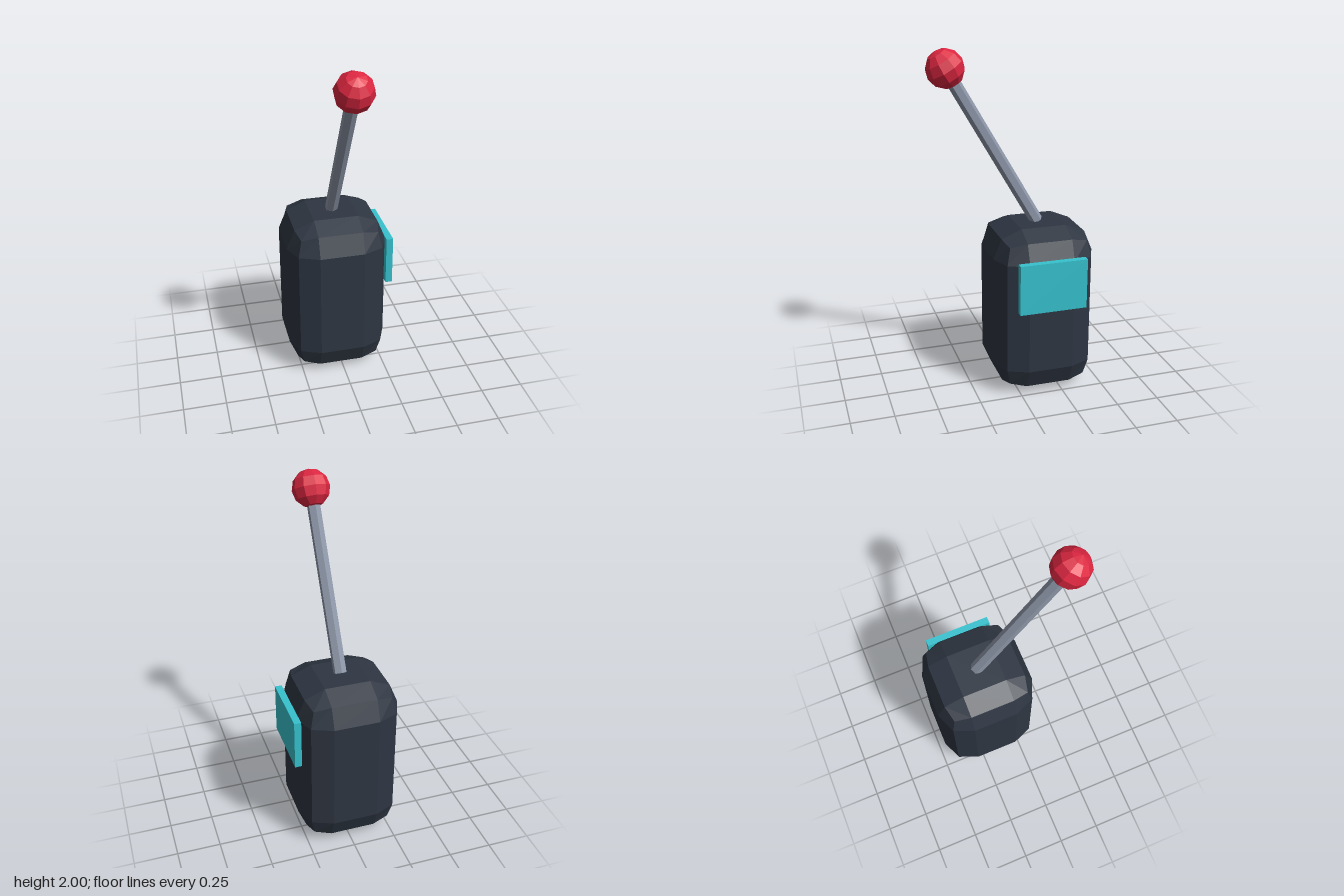
import * as THREE from 'three';
import { RoundedBoxGeometry } from 'three/addons/geometries/RoundedBoxGeometry.js';

function makeMaterial(name, color) {
  const material = new THREE.MeshStandardMaterial({ color, flatShading: true });
  material.name = name;
  return material;
}

function addPart(parent, name, geometry, material, x, y, z) {
  const mesh = new THREE.Mesh(geometry, material);
  mesh.name = name;
  mesh.position.set(x, y, z);
  parent.add(mesh);
  return mesh;
}

export function createModel() {
  const charcoal = makeMaterial('charcoal', 0x2e3642);
  const cyan = makeMaterial('cyan', 0x36c2ce);
  const steel = makeMaterial('steel', 0x8d96a8);
  const red = makeMaterial('red', 0xdc2640);

  const model = new THREE.Group();
  model.name = 'leverBox';

  const centreX = -0.0165, centreZ = -0.167;
  const width = 0.595, height = 0.99;

  // Chamfered housing
  addPart(model, 'housing', new RoundedBoxGeometry(width, height, width, 1, 0.166),
    charcoal, centreX, height / 2, centreZ);

  // Panel on the left side
  addPart(model, 'sidePanel', new THREE.BoxGeometry(0.04, 0.295, 0.395),
    cyan, 0.292, 0.6975, centreZ);

  // Lever leaning forward, pivoting on top of the housing
  const lever = new THREE.Group();
  lever.name = 'lever';
  lever.position.set(centreX, height, centreZ);
  lever.rotation.x = Math.PI / 6;
  model.add(lever);

  const length = 1.041;
  addPart(lever, 'leverRod', new THREE.CylinderGeometry(0.038, 0.038, length, 6),
    steel, 0, length / 2, 0);
  addPart(lever, 'leverKnob', new THREE.SphereGeometry(0.1085, 10, 6, Math.PI / 2),
    red, 0, length, 0);

  return model;
}
